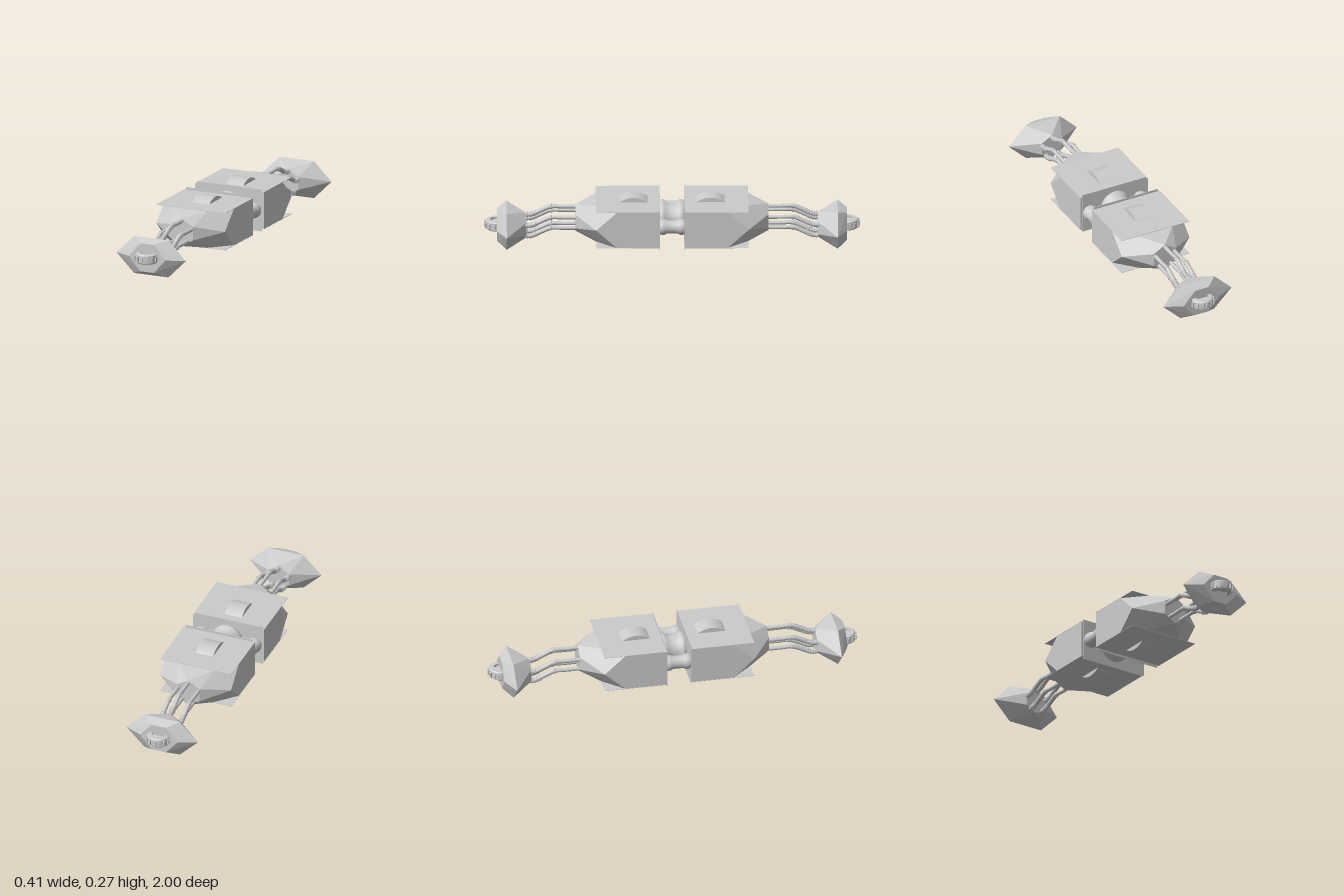
import * as THREE from 'three';
import { ConvexGeometry } from 'three/addons/geometries/ConvexGeometry.js';

const MID = 0.148, CAP = 0.105; // centre heights of the body and of the end cap
const flat = new THREE.MeshStandardMaterial({ color: 0xcccccc, flatShading: true });
const smooth = new THREE.MeshStandardMaterial({ color: 0xcccccc, side: THREE.DoubleSide });

function add(parent, name, geometry, material = smooth, x = 0, y = 0, z = 0) {
  const mesh = new THREE.Mesh(geometry, material);
  mesh.name = name;
  mesh.position.set(x, y, z);
  parent.add(mesh);
  return mesh;
}

// Flat-topped hexagon ring: side points at sx, top edge from -tx to tx
const hexRing = (sx, tx, h, y, z) => [
  [sx, 0], [tx, h], [-tx, h], [-sx, 0], [-tx, -h], [tx, -h],
].map(([px, py]) => new THREE.Vector3(px, y + py, z));

// Regular hexagon ring standing on a point
const pointedRing = (r, y, z) => Array.from({ length: 6 }, (_, i) => {
  const a = i * Math.PI / 3;
  return new THREE.Vector3(r * Math.sin(a), y + r * Math.cos(a), z);
});

const boxRing = (w, h, y, z) => [[1, 1], [-1, 1], [-1, -1], [1, -1]]
  .map(([sx, sy]) => new THREE.Vector3(sx * w, y + sy * h, z));

// Spool profile along z: wide flanges and a hollowed waist
function spool(r, half) {
  const points = [[r * 0.9, -1], [r, -0.85], [r, -0.6], [r * 0.86, -0.45], [r * 0.82, 0],
    [r * 0.86, 0.45], [r, 0.6], [r, 0.85], [r * 0.9, 1]]
    .map(([a, b]) => new THREE.Vector2(a, b * half));
  return new THREE.LatheGeometry(points, 32).rotateX(Math.PI / 2);
}

function createHalf() {
  const half = new THREE.Group();

  // Faceted body block with chamfered outer corners
  add(half, 'bodyBlock', new ConvexGeometry([
    ...boxRing(0.203, 0.1, MID, 0.066), ...boxRing(0.203, 0.1, MID, 0.295),
    ...hexRing(0.203, 0.1, 0.1, MID, 0.405), ...pointedRing(0.076, MID, 0.512),
  ]), flat);

  // Thin cover sheets whose corners overhang the chamfers
  for (const s of [1, -1]) {
    add(half, s > 0 ? 'topSheet' : 'bottomSheet', new THREE.BoxGeometry(0.408, 0.002, 0.34),
      flat, 0, MID + s * 0.101, 0.235);
  }
  add(half, 'innerFlange', new THREE.BoxGeometry(0.385, 0.23, 0.003), flat, 0, MID, 0.066);

  // Wheel set through the body, showing above and below
  add(half, 'bodyWheel', new THREE.CylinderGeometry(0.126, 0.126, 0.1, 64).rotateZ(Math.PI / 2),
    new THREE.MeshStandardMaterial({ color: 0xcccccc }), 0, MID + 0.001, 0.205);

  // Five bent hoses in a ring, with thicker ribbed sleeves by the cap
  for (let i = 0; i < 5; i++) {
    const a = i * Math.PI * 2 / 5;
    const x = 0.06 * Math.sin(a), y = MID + 0.002 + 0.06 * Math.cos(a);
    const drop = MID - CAP;
    const p = (dy, z) => new THREE.Vector3(x, y - dy, z);
    const hose = new THREE.CatmullRomCurve3([
      p(0, 0.47), p(0, 0.58), p(0, 0.65), p(drop * 0.5, 0.7), p(drop, 0.75), p(drop, 0.81)]);
    add(half, 'hose', new THREE.TubeGeometry(hose, 40, 0.0105, 12));
    const sleeve = new THREE.CatmullRomCurve3([
      p(0, 0.635), p(0, 0.65), p(drop * 0.5, 0.7), p(drop, 0.75), p(drop, 0.8)]);
    add(half, 'hoseSleeve', new THREE.TubeGeometry(sleeve, 24, 0.0125, 12));
    for (const t of [0.04, 0.55, 0.64, 0.73, 0.82]) {
      const at = sleeve.getPointAt(t);
      const rib = add(half, 'sleeveRib', new THREE.TorusGeometry(0.0125, 0.003, 6, 14),
        smooth, at.x, at.y, at.z);
      rib.lookAt(at.clone().add(sleeve.getTangentAt(t)));
    }
  }

  // Faceted end cap
  add(half, 'endCap', new ConvexGeometry([
    ...pointedRing(0.07, CAP, 0.775), ...hexRing(0.205, 0.102, 0.102, CAP, 0.88),
    ...hexRing(0.108, 0.04, 0.077, CAP + 0.004, 0.93),
  ]), flat);

  // Toothed knob half sunk in the cap
  const knob = new THREE.Group();
  knob.name = 'toothedKnob';
  knob.position.set(0, 0.114, 0.932);
  half.add(knob);
  const profile = [[0, 0.014], [0.034, 0.014], [0.034, 0.026], [0.053, 0.026], [0.06, 0.02],
    [0.06, -0.02], [0.053, -0.026], [0.034, -0.026], [0.034, -0.014], [0, -0.014]]
    .map(([r, y]) => new THREE.Vector2(r, y));
  add(knob, 'knobBody', new THREE.LatheGeometry(profile.reverse(), 40),
    new THREE.MeshStandardMaterial({ color: 0xcccccc, flatShading: true, side: THREE.DoubleSide }));
  for (let i = 0; i < 14; i++) {
    const a = i * Math.PI / 7;
    const tooth = add(knob, 'knobTooth', new THREE.BoxGeometry(0.012, 0.028, 0.014),
      flat, 0.061 * Math.sin(a), 0, 0.061 * Math.cos(a));
    tooth.rotation.y = a;
  }
  return half;
}

export function createModel() {
  const model = new THREE.Group();
  model.name = 'segmentedDevice';

  // Two identical halves, turned back to back
  for (const [name, turn] of [['frontHalf', 0], ['backHalf', Math.PI]]) {
    const half = createHalf();
    half.name = name;
    half.rotation.y = turn;
    model.add(half);
  }

  // Spools joining the halves across the gap
  add(model, 'centreSpool', spool(0.086, 0.067), smooth, 0, MID + 0.002, 0);
  for (const s of [1, -1]) {
    add(model, s > 0 ? 'leftSpool' : 'rightSpool', spool(0.042, 0.067), smooth, s * 0.15, MID, 0);
  }
  return model;
}
